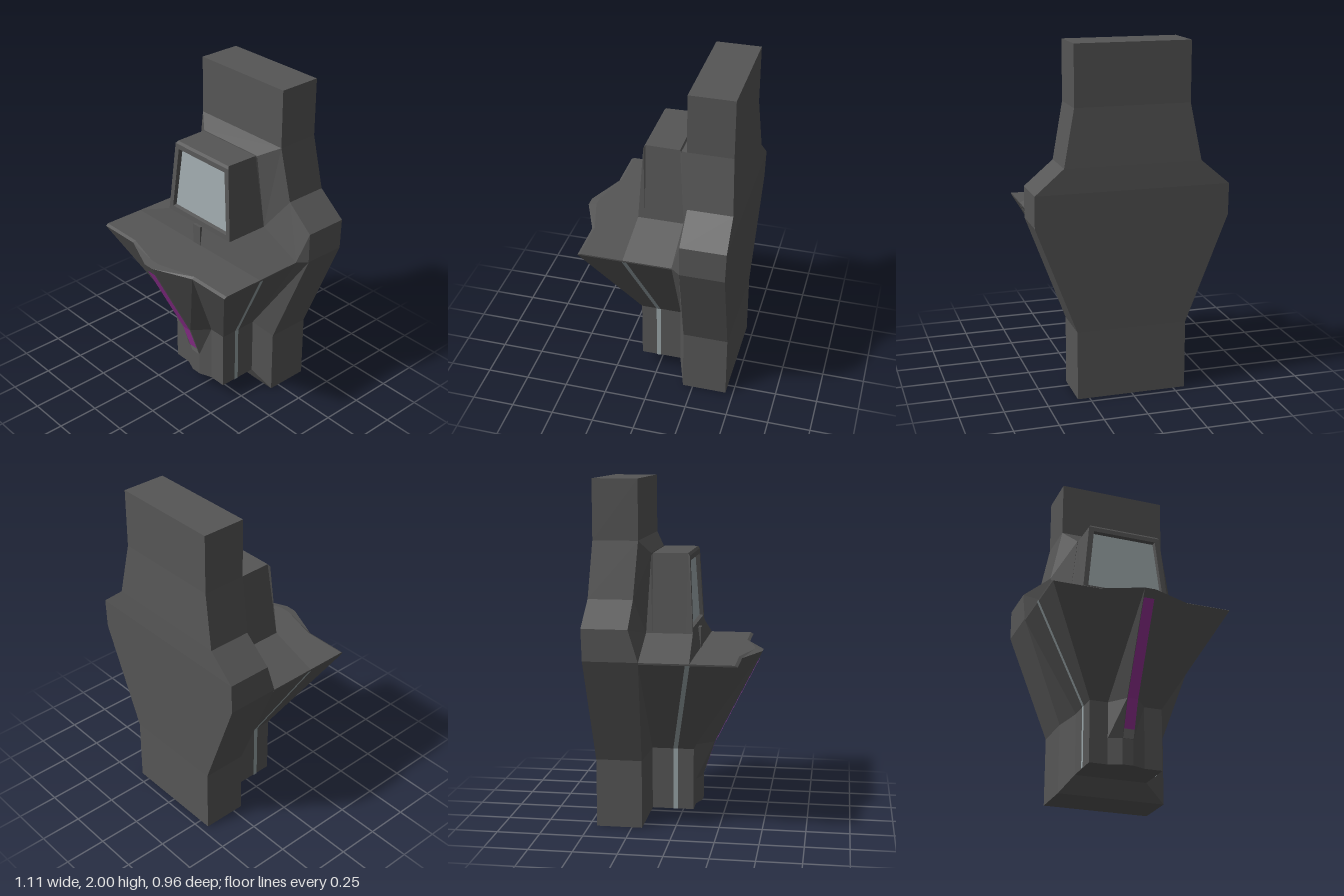
import * as THREE from 'three';

const CX = -0.023; // the console sits slightly off the cabinet's centre line

// Skin a list of equal-length rings; rings run counterclockwise seen from the end they grow towards.
function loft(name, color, rings, { closed = true, capStart = false, capEnd = false, double = false } = {}) {
  const pos = [];
  const tri = (a, b, c) => pos.push(...a, ...b, ...c);
  const n = rings[0].length;
  for (let i = 0; i < rings.length - 1; i++) {
    for (let j = 0; j < (closed ? n : n - 1); j++) {
      const k = (j + 1) % n;
      tri(rings[i][j], rings[i][k], rings[i + 1][k]);
      tri(rings[i][j], rings[i + 1][k], rings[i + 1][j]);
    }
  }
  const cap = (ring, flip) => {
    const c = [0, 1, 2].map(a => ring.reduce((s, p) => s + p[a], 0) / n);
    ring.forEach((p, j) => {
      const q = ring[(j + 1) % n];
      flip ? tri(c, q, p) : tri(c, p, q);
    });
  };
  if (capStart) cap(rings[0], true);
  if (capEnd) cap(rings[rings.length - 1], false);
  const g = new THREE.BufferGeometry();
  g.setAttribute('position', new THREE.Float32BufferAttribute(pos, 3));
  g.computeVertexNormals();
  const m = new THREE.Mesh(g, new THREE.MeshStandardMaterial({
    color, flatShading: true, side: double ? THREE.DoubleSide : THREE.FrontSide }));
  m.name = name;
  return m;
}

const GREY = 0x565656, GLASS = 0xa0abae, PURPLE = 0x993399, PALE = 0x98a4a7;

export function createModel() {
  const group = new THREE.Group();

  // Tall back cabinet: outer slab plus a bevelled step towards the console
  // [half width, y, front z, back z, inner half width, inner y, inner z]
  const cabinetRows = [
    [0.318, 0, -0.19, -0.455, 0.318, 0, -0.19],
    [0.318, 0, -0.19, -0.455, 0.215, 0.1, -0.14],
    [0.318, 0.4, -0.19, -0.455, 0.215, 0.46, -0.14],
    [0.555, 1.02, -0.22, -0.475, 0.532, 1.02, -0.165],
    [0.555, 1.2, -0.22, -0.48, 0.532, 1.02, -0.165],
    [0.39, 1.34, -0.22, -0.475, 0.265, 1.14, -0.165],
    [0.328, 1.66, -0.2, -0.457, 0.225, 1.585, -0.14],
    [0.328, 1.66, -0.2, -0.457, 0.328, 1.66, -0.2],
    [0.328, 2, -0.2, -0.457, 0.328, 2, -0.2],
  ];
  group.add(loft('cabinet', GREY, cabinetRows.map(([w, y, zf, zb, iw, iy, iz]) => {
    const c = iw === w ? 0 : CX;
    return [[w, y, zb], [-w, y, zb], [-w, y, zf], [c - iw, iy, iz], [c + iw, iy, iz], [w, y, zf]];
  }), { capStart: true, capEnd: true }));

  // Console: narrow pedestal flaring into a shelf with a pointed front
  // [y, half width, back z, side z, shoulder half width, nose half width, nose z]
  const consoleRows = [
    [0.1, 0.215, -0.14, 0.1, 0.108, 0.032, 0.13],
    [0.25, 0.215, -0.14, 0.1, 0.108, 0.032, 0.13],
    [0.46, 0.215, -0.14, 0.1, 0.108, 0.032, 0.2],
    [1.01, 0.53, -0.165, 0.378, 0.265, 0.032, 0.477],
    [1.02, 0.532, -0.165, 0.362, 0.265, 0.032, 0.428],
  ];
  group.add(loft('console', GREY, consoleRows.map(([y, w, zb, zs, sw, nw, zn]) =>
    [[w, zb], [-w, zb], [-w, zs], [-sw, zs], [-nw, zn], [nw, zn], [sw, zs], [w, zs]]
      .map(([x, z]) => [CX + x, y, z])), { capStart: true, capEnd: true }));

  // Sloped skirt between shelf and screen housing
  group.add(loft('shelfSlope', GREY, [[0.532, 1.02, 0.115], [0.265, 1.14, 0.1]].map(([w, y, z]) =>
    [[CX + w, y, -0.165], [CX - w, y, -0.165], [CX - w, y, z], [CX + w, y, z]]), { capEnd: true }));

  // Screen housing with a recessed opening, swept from back to front
  // [bottom y, bottom half width, bottom z, top y, top half width, top z]
  const frame = ([by, bw, bz, ty, tw, tz]) =>
    [[CX + bw, by, bz], [CX + tw, ty, tz], [CX - tw, ty, tz], [CX - bw, by, bz]];
  const recess = [1.175, 0.228, 0.076, 1.54, 0.19, 0.055];
  group.add(loft('screenHousing', GREY, [
    [1.14, 0.265, -0.165, 1.57, 0.225, -0.142],
    [1.14, 0.265, -0.13, 1.587, 0.22, -0.13],
    [1.14, 0.265, 0.06, 1.587, 0.215, 0.066],
    [1.14, 0.265, 0.1, 1.573, 0.225, 0.077],
    [1.17, 0.233, 0.098, 1.545, 0.195, 0.079],
    recess,
  ].map(frame), { capStart: true }));
  group.add(loft('screen', GLASS, [frame(recess)], { capEnd: true }));

  // Small tab below the screen
  const tab = new THREE.Mesh(new THREE.BoxGeometry(0.06, 0.12, 0.025),
    new THREE.MeshStandardMaterial({ color: GREY, flatShading: true }));
  tab.name = 'screenTab';
  tab.position.set(CX, 1.08, 0.105);
  group.add(tab);

  // Front strip lying along the nose, with a pale foot
  const noseStrip = (name, color, path) => group.add(loft(name, color,
    path.map(([y, z]) => [[CX - 0.031, y, z], [CX + 0.031, y, z]]), { closed: false, double: true }));
  noseStrip('frontStrip', PURPLE, [[0.3, 0.151], [0.46, 0.205], [0.96, 0.457]]);
  noseStrip('frontStripFoot', 0x777777, [[0.25, 0.134], [0.3, 0.151]]);

  // Pale strips running up both sides of the console
  for (const s of [1, -1]) {
    group.add(loft(s > 0 ? 'leftSideStrip' : 'rightSideStrip', PALE, [
      [0.219, 0.1, -0.005], [0.219, 0.46, -0.005], [0.535, 1.012, 0.105],
    ].map(([x, y, z]) => [[CX + s * x, y, z - 0.013], [CX + s * x, y, z + 0.013]]),
    { closed: false, double: true }));
  }
  return group;
}
